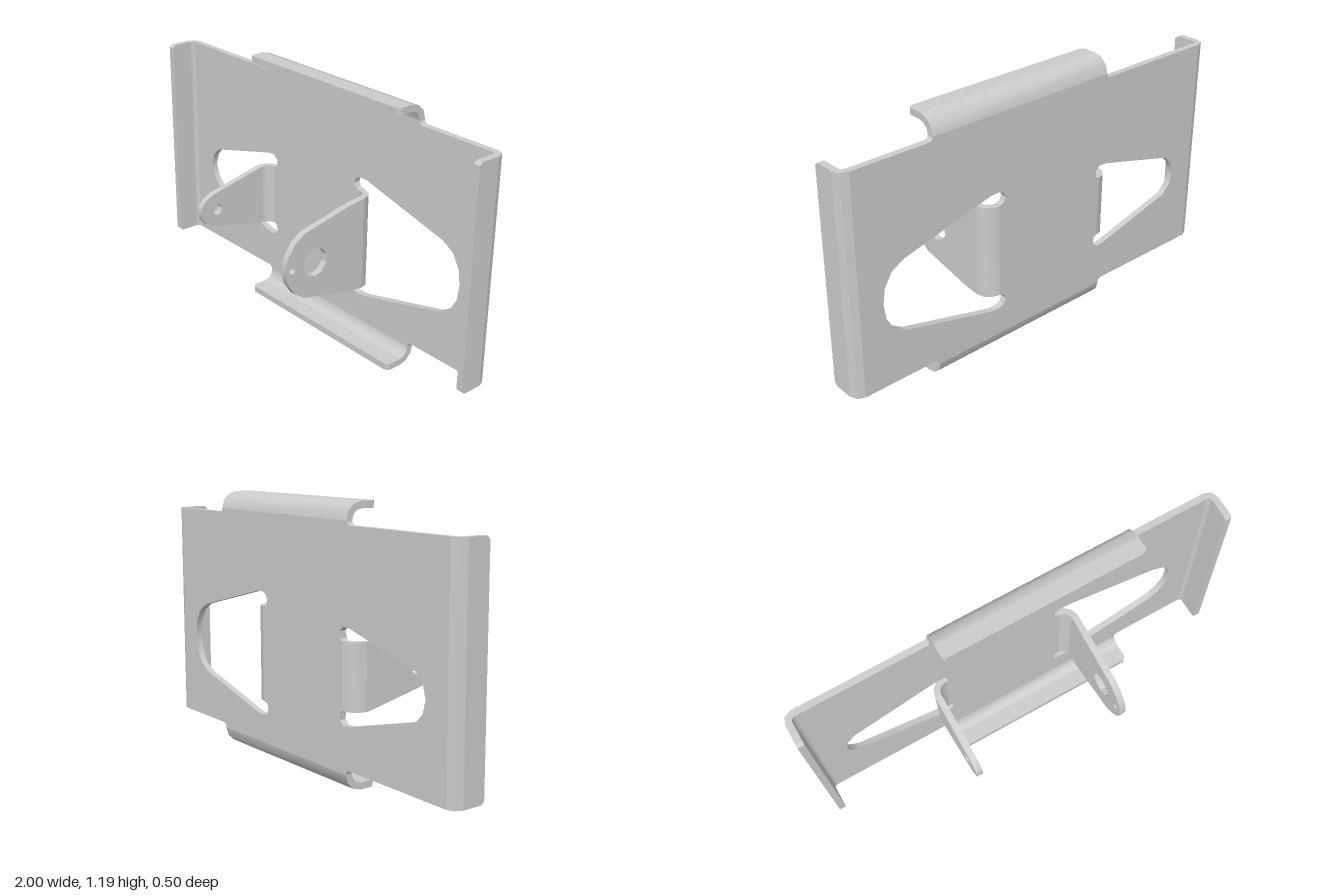
import * as THREE from 'three';
import { toCreasedNormals } from 'three/addons/utils/BufferGeometryUtils.js';

const T = 0.03;        // sheet thickness
const BACK = -0.25;    // rear face of the sheet
const MID = 0.485;     // height of the lug axis
const material = new THREE.MeshStandardMaterial({ color: 0xcccccc });
const Z = new THREE.Vector3(0, 0, 1);

const polygon = pts => pts.map(([x, y]) => new THREE.Vector2(x, y));
const mirrored = half => [...half, ...half.filter(p => p[0] !== 0).reverse().map(([a, z]) => [-a, z])];

function extrude(shape, depth) {
  const geo = new THREE.ExtrudeGeometry(shape, { depth, bevelEnabled: false, curveSegments: 5 });
  return toCreasedNormals(geo, 0.6);
}

function mesh(name, geo) {
  const m = new THREE.Mesh(geo, material);
  m.name = name;
  return m;
}

// Sheet bent forward: starts at `origin` on the plate, heads along `u`, turns by radius R to +z.
// `half` lists [offset across the strip, z] for one half of the flat part's outline.
function foldedTab(name, u, origin, R, segs, half, holes = []) {
  const group = new THREE.Group();
  group.name = name;
  const along = new THREE.Vector3().crossVectors(u, Z);
  const width = 2 * half[0][0];

  // curved bend
  const outer = [], inner = [];
  for (let i = 0; i <= segs; i++) {
    const a = (i / segs) * Math.PI / 2;
    outer.push([R * Math.sin(a), BACK + R - R * Math.cos(a)]);
    inner.unshift([(R - T) * Math.sin(a), BACK + R - (R - T) * Math.cos(a)]);
  }
  const bend = extrude(new THREE.Shape(polygon([...outer, ...inner])), width);
  bend.translate(0, 0, -width / 2);
  bend.applyMatrix4(new THREE.Matrix4().makeBasis(u, Z, along).setPosition(origin));
  group.add(mesh(name + 'Bend', bend));

  // flat part
  const shape = new THREE.Shape(polygon(mirrored(half)));
  for (const [z, r, sides] of holes) {
    const pts = [];
    for (let i = 0; i < sides; i++) {
      const a = (i / sides) * Math.PI * 2;
      pts.push([r * Math.cos(a), z + r * Math.sin(a)]);
    }
    shape.holes.push(new THREE.Path(polygon(pts)));
  }
  const flat = extrude(shape, T);
  const inward = u.clone().negate();
  const pos = origin.clone().addScaledVector(u, R);
  flat.applyMatrix4(new THREE.Matrix4().makeBasis(along, Z, inward).setPosition(pos));
  group.add(mesh(name + 'Face', flat));
  return group;
}

// Upper half of a cutout, mirrored about the lug axis
function cutout(half) {
  const lower = half.filter(p => p[1] !== MID).reverse().map(([x, y]) => [x, 2 * MID - y]);
  return new THREE.Path(polygon([...half, ...lower]));
}

export function createModel() {
  const model = new THREE.Group();
  model.name = 'mountingBracket';
  const sideR = 0.045, tabR = 0.075, lugR = 0.07;
  const x0 = -0.355, x1 = 0.58, tabMid = (x0 + x1) / 2, tabHalf = (x1 - x0) / 2;
  const top = 1.19 - tabR, bottom = tabR;
  const edge = 1 - sideR;

  // back plate with small fillets beside the upper and lower necks
  const s = new THREE.Shape();
  s.moveTo(-edge, 0.097);
  s.lineTo(x0 - 0.025, 0.097);
  s.quadraticCurveTo(x0, 0.097, x0, bottom);
  s.lineTo(x1, bottom);
  s.quadraticCurveTo(x1, 0.097, x1 + 0.025, 0.097);
  s.lineTo(edge, 0.097);
  s.lineTo(edge, 1.097);
  s.lineTo(x1 + 0.025, 1.097);
  s.quadraticCurveTo(x1, 1.097, x1, top);
  s.lineTo(x0, top);
  s.quadraticCurveTo(x0, 1.097, x0 - 0.025, 1.097);
  s.lineTo(-edge, 1.097);
  s.closePath();

  // openings left by the lugs, with relief slots at the bends
  s.holes.push(cutout([
    [0.25, 0.702], [0.228, 0.707], [0.216, 0.73], [0.227, 0.757], [0.255, 0.766], [0.295, 0.764],
    [0.74, 0.65], [0.80, 0.615], [0.835, 0.555], [0.845, MID],
  ]));
  s.holes.push(cutout([
    [-0.33, 0.63], [-0.315, 0.638], [-0.312, 0.67], [-0.335, 0.69], [-0.375, 0.688],
    [-0.78, 0.582], [-0.82, 0.54], [-0.835, MID],
  ]));
  const plate = extrude(s, T);
  plate.translate(0, 0, BACK);
  model.add(mesh('backPlate', plate));

  // side flanges
  for (const [name, sx] of [['leftFlange', 1], ['rightFlange', -1]]) {
    model.add(foldedTab(name, new THREE.Vector3(sx, 0, 0), new THREE.Vector3(sx * edge, 0.597, 0), sideR, 2,
      [[0.5, BACK + sideR], [0.5, -0.115], [0.487, -0.1]]));
  }

  // upper and lower flanges
  for (const [name, sy, y] of [['topFlange', 1, top], ['bottomFlange', -1, bottom]]) {
    model.add(foldedTab(name, new THREE.Vector3(0, sy, 0), new THREE.Vector3(tabMid, y, 0), tabR, 3,
      [[tabHalf, BACK + tabR], [tabHalf, -0.115], [tabHalf - 0.015, -0.1]]));
  }

  // pivot lugs: the larger one carries a wide bore and a small pin hole
  model.add(foldedTab('largeLug', new THREE.Vector3(1, 0, 0), new THREE.Vector3(0.25, MID, 0), lugR, 3,
    [[0.215, BACK + lugR], [0.205, -0.1], [0.15, 0.15], [0.115, 0.2], [0.055, 0.24], [0, 0.25]],
    [[0.09, 0.065, 10], [0.213, 0.018, 6]]));
  model.add(foldedTab('smallLug', new THREE.Vector3(-1, 0, 0), new THREE.Vector3(-0.33, MID, 0), lugR, 3,
    [[0.145, BACK + lugR], [0.14, -0.15], [0.08, 0.11], [0.06, 0.15], [0.03, 0.175], [0, 0.18]],
    [[0.09, 0.027, 8]]));

  return model;
}
